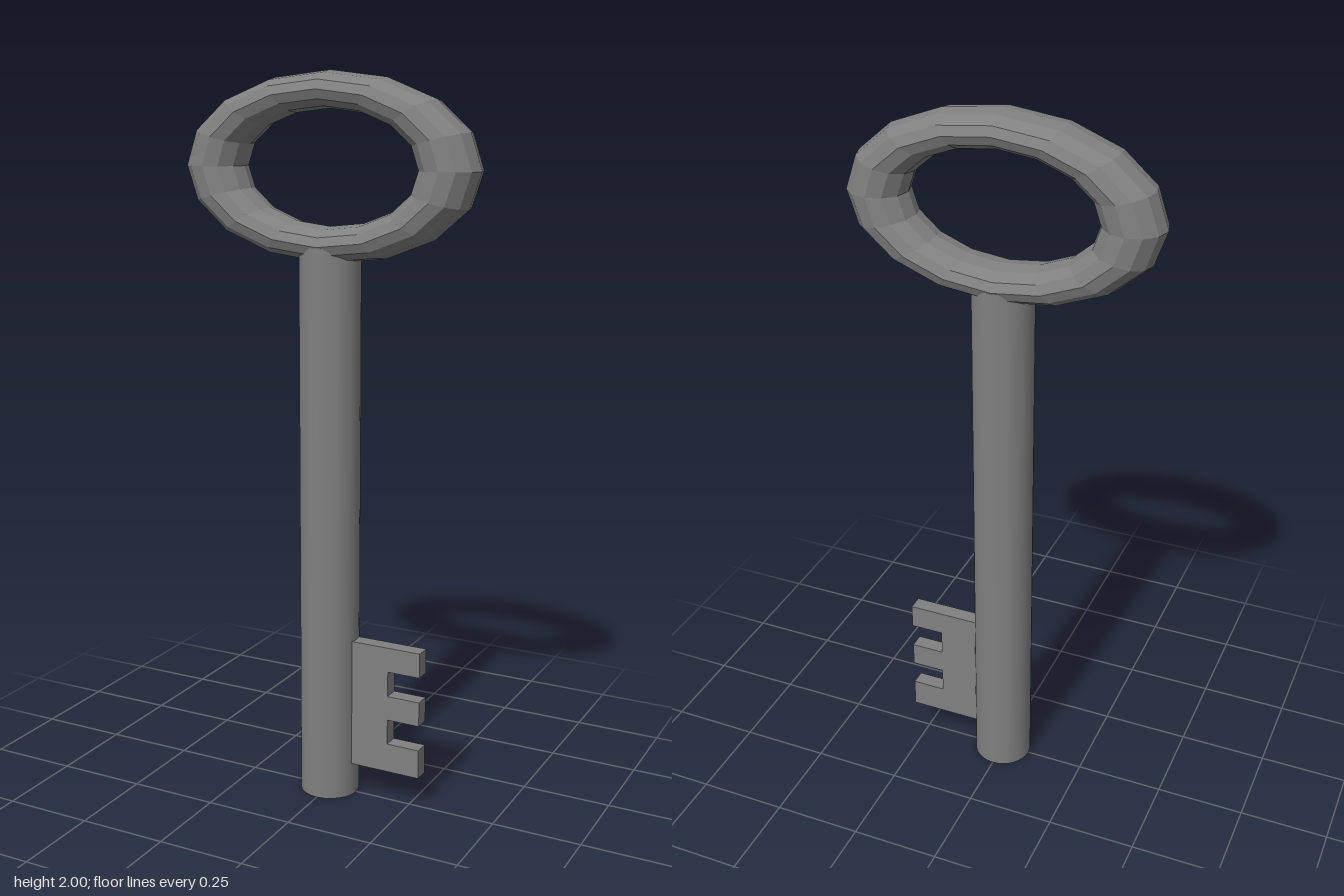
import * as THREE from 'three';

export function createModel() {
  const model = new THREE.Group();
  model.name = 'key';
  const steel = new THREE.MeshStandardMaterial({ color: 0x808080 });
  steel.name = 'grey steel';

  const add = (name, geometry, x, y, z) => {
    const mesh = new THREE.Mesh(geometry, steel);
    mesh.name = name;
    mesh.position.set(x, y, z);
    model.add(mesh);
  };

  // Oval handle: a faceted torus squashed in height
  const ring = new THREE.TorusGeometry(0.342, 0.083, 12, 16).scale(1, 0.584, 1).toNonIndexed();
  ring.computeVertexNormals();
  add('bow', ring, 0, 1.752, 0);

  // Round shaft, its top end hidden inside the ring
  const top = 1.55;
  add('shaft', new THREE.CylinderGeometry(0.083, 0.083, top, 32), 0, top / 2, 0);

  // Flat bit with three teeth, rooted inside the shaft
  const inner = 0.19, outer = 0.285, depth = 0.044;
  const teeth = [[0.095, 0.178], [0.25, 0.32], [0.392, 0.462]];
  const outline = new THREE.Shape();
  outline.moveTo(0.04, teeth[0][0]);
  teeth.forEach(([low, high], i) => {
    if (i > 0) outline.lineTo(inner, low);
    outline.lineTo(outer, low);
    outline.lineTo(outer, high);
    if (i < teeth.length - 1) outline.lineTo(inner, high);
  });
  outline.lineTo(0.04, teeth[2][1]);
  outline.closePath();
  add('bit', new THREE.ExtrudeGeometry(outline, { depth, bevelEnabled: false }), 0, 0, -depth / 2);

  return model;
}
